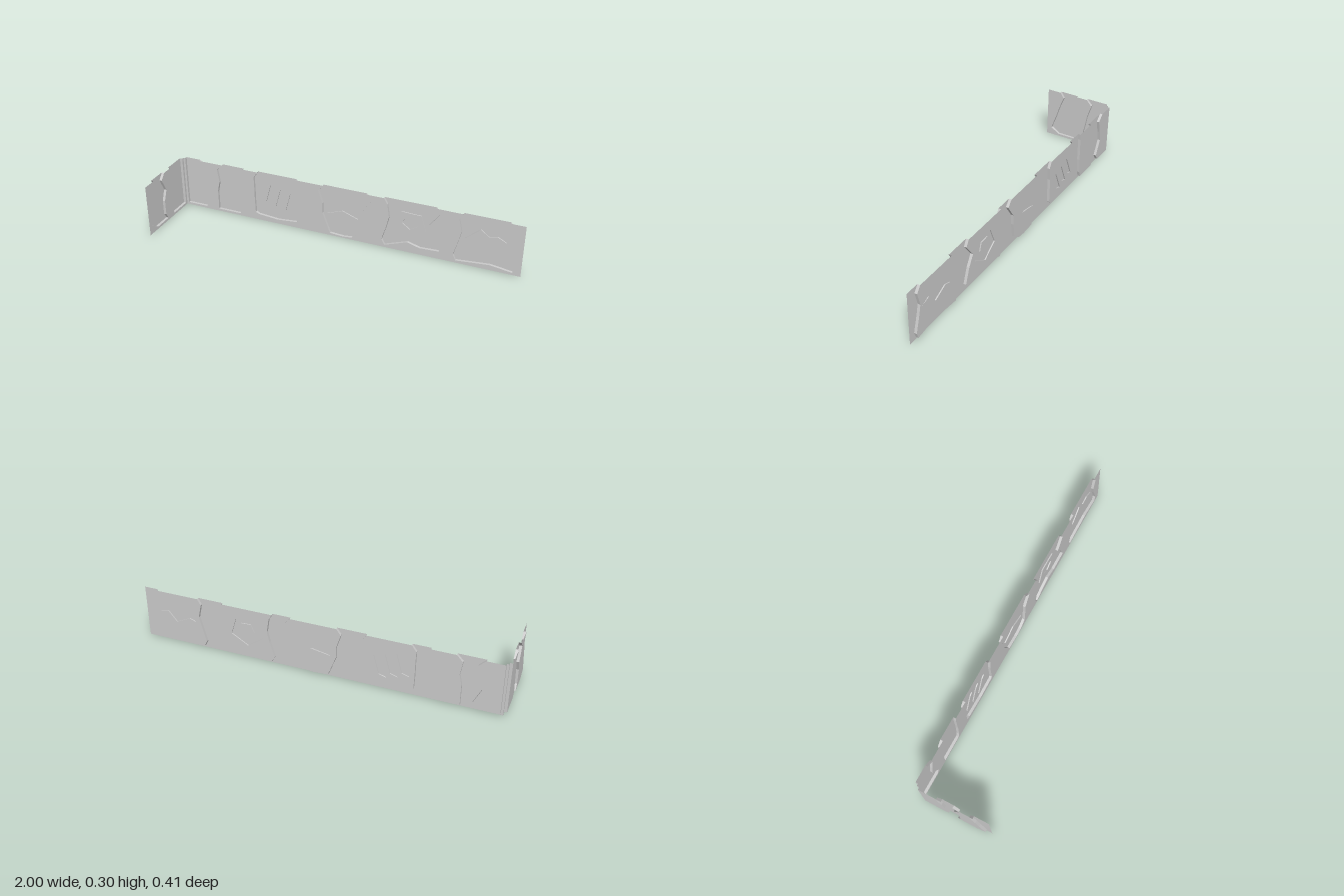
import * as THREE from 'three';

const STONE = 0.015;  // how far stones stand out behind the sheet
const CHIP = 0.009;   // depth of the carved marks inside a stone
const H = 0.3;        // wall height
// Heights at which every stone's two sides bend, from top to foot
const BENDS = [H, 0.265, 0.19, 0.13, 0.045, 0.013];

const material = new THREE.MeshStandardMaterial({
  color: 0xcccccc, side: THREE.DoubleSide, flatShading: true,
});

function addMesh(group, name, geometry) {
  const mesh = new THREE.Mesh(geometry, material);
  mesh.name = name;
  group.add(mesh);
}

const toVectors = (points) => points.map(([u, v]) => new THREE.Vector2(u, v));

// Flat face at a given depth, with holes where further relief is set in
function face(points, depth, holes = []) {
  const shape = new THREE.Shape(toVectors(points));
  shape.holes = holes.map((h) => new THREE.Path(toVectors(h)));
  return new THREE.ShapeGeometry(shape).translate(0, 0, -depth);
}

// Step wall along an outline, joining two depths
function step(points, d0, d1, closed) {
  const position = [];
  const count = closed ? points.length : points.length - 1;
  for (let i = 0; i < count; i++) {
    const [a, b] = points[i];
    const [c, d] = points[(i + 1) % points.length];
    position.push(a, b, -d0, c, d, -d1, c, d, -d0, a, b, -d0, a, b, -d1, c, d, -d1);
  }
  const geometry = new THREE.BufferGeometry();
  geometry.setAttribute('position', new THREE.Float32BufferAttribute(position, 3));
  geometry.computeVertexNormals();
  return geometry;
}

// Stone outline: down the left side, along the foot and up the right side
function stone(left, right, foot = [], marks = []) {
  const side = (us) => us.map((u, i) => [u, BENDS[i]]);
  return { outline: [...side(left), ...foot, ...side(right).reverse()], marks };
}

// Straight side for stones that end at the corner
const straight = (u) => BENDS.map(() => u);

// Rough rounded mark
function ring(u, v, ru, rv, sides, turn, marks = []) {
  const outline = Array.from({ length: sides }, (_, i) => {
    const a = turn + (i / sides) * Math.PI * 2;
    return [u + ru * Math.cos(a), v + rv * Math.sin(a)];
  });
  return { outline, marks };
}

// Three leaning slivers side by side
const slashes = [0, 1, 2].map((i) => {
  const u = -0.505 + i * 0.06;
  const v = 0.11 - i * 0.017;
  return { outline: [[u, v], [u + 0.04, v + 0.012], [u + 0.07, v + 0.122], [u + 0.05, v + 0.11]], marks: [] };
});

const crack = { outline: [[-0.09, 0.13], [0.03, 0.152], [0.09, 0.13], [0, 0.163]], marks: [] };

const zigzag = {
  outline: [[0.69, 0.155], [0.73, 0.168], [0.81, 0.13], [0.86, 0.19], [0.91, 0.175],
    [0.86, 0.2], [0.815, 0.19], [0.77, 0.225]],
  marks: [],
};

const nestedRings = ring(0.39, 0.165, 0.095, 0.085, 5, 0.9, [ring(0.39, 0.178, 0.046, 0.042, 5, 0.9)]);

const longStones = [
  stone(straight(-0.973), [-0.88, -0.842, -0.862, -0.873, -0.832, -0.85]),
  stone([-0.735, -0.768, -0.757, -0.77, -0.77, -0.77], [-0.605, -0.61, -0.612, -0.613, -0.62, -0.63]),
  stone([-0.51, -0.535, -0.533, -0.533, -0.53], [-0.275, -0.255, -0.265, -0.265, -0.265],
    [[-0.51, 0.035], [-0.39, 0.025], [-0.275, 0.035]], slashes),
  stone([-0.115, -0.14, -0.115, -0.115, -0.083, -0.07], [0.14, 0.17, 0.12, 0.117, 0.105, 0.06],
    [[0.01, 0.008]], [crack]),
  stone([0.24, 0.26, 0.272, 0.258, 0.233, 0.25], [0.53, 0.55, 0.495, 0.53, 0.56],
    [[0.38, 0.06], [0.45, 0.04]], [nestedRings]),
  stone([0.675, 0.655, 0.672, 0.657, 0.635, 0.65], [0.92, 0.945, 0.926, 0.94, 0.965, 0.955],
    [[0.835, 0.03]], [zigzag]),
];

const shortStones = [
  stone([-0.125, -0.103, -0.131, -0.148, -0.178, -0.125], [-0.015, -0.046, -0.01, -0.035, -0.035, -0.015]),
  stone([0.05, 0.083, 0.06, 0.05, 0.033, 0.05], straight(0.178)),
];

// A stone or carved mark: its face, its edge and any marks nested inside
function relief(group, name, { outline, marks }, from, to, closed) {
  addMesh(group, name + 'Face', face(outline, to, marks.map((m) => m.outline)));
  addMesh(group, name + 'Edge', step(outline, from, to, closed));
  marks.forEach((m) => relief(group, 'carvedMark', m, to, to === STONE ? CHIP : STONE, true));
}

// One run of wall: a thin sheet notched from the top by its stones (left to right)
function wallRun(name, start, end, stones) {
  const group = new THREE.Group();
  group.name = name;
  const contour = [[start, 0], [end, 0], [end, H]];
  [...stones].reverse().forEach((s) => contour.push(...[...s.outline].reverse()));
  contour.push([start, H]);
  addMesh(group, 'sheet', face(contour, 0));
  stones.forEach((s) => relief(group, 'stone', s, 0, STONE, false));
  return group;
}

export function createModel() {
  const model = new THREE.Group();
  model.name = 'stoneWall';

  // Long run across the back
  const long = wallRun('longWall', -0.985, 1, longStones);
  long.position.z = -0.191;

  // Short return at one end, turned a quarter so its stones face outward
  const short = wallRun('shortWall', -0.206, 0.191, shortStones);
  short.rotation.y = Math.PI / 2;
  short.position.x = -0.985;

  model.add(long, short);
  return model;
}
